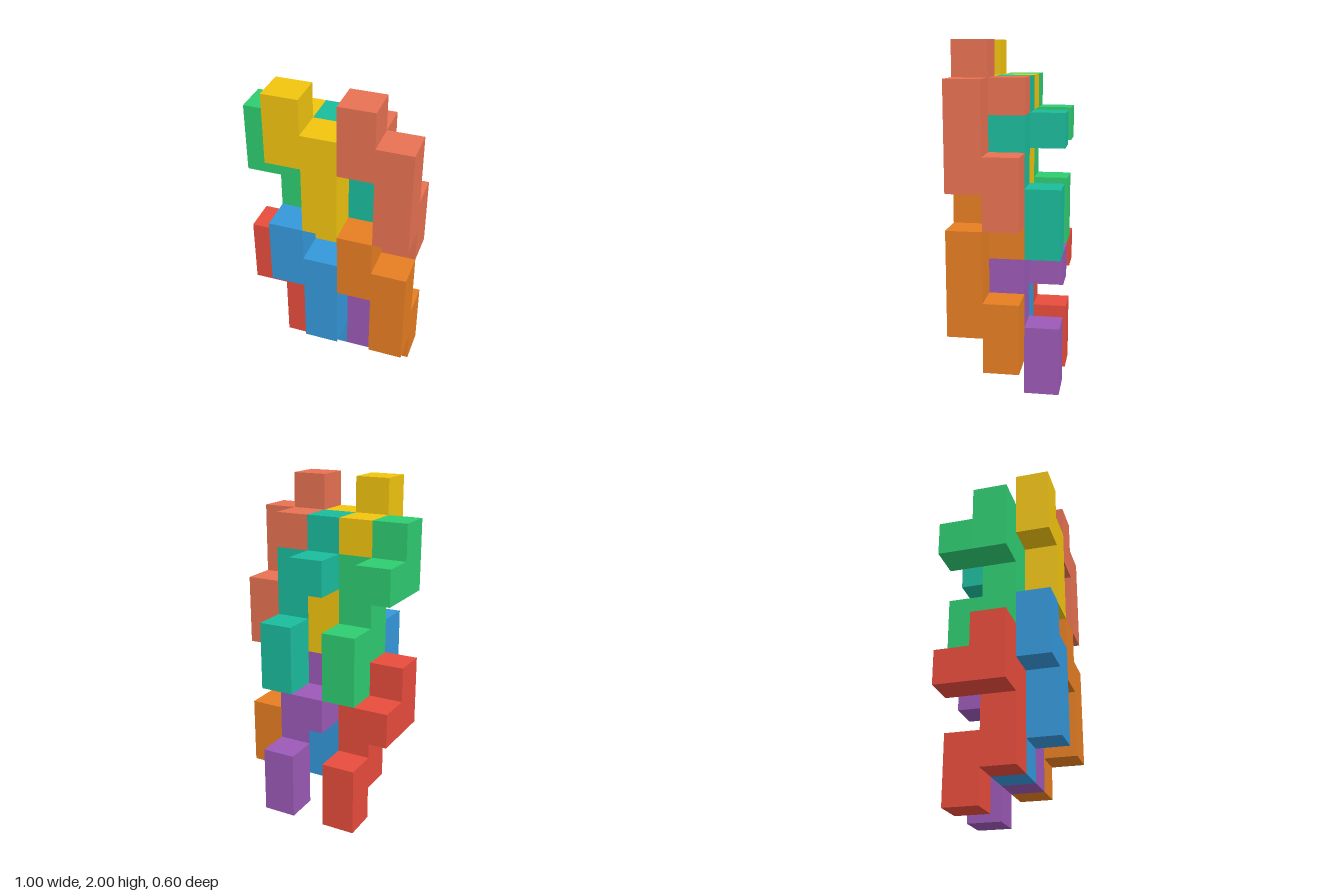
import * as THREE from 'three';
import { mergeGeometries } from 'three/addons/utils/BufferGeometryUtils.js';

const U = 0.2; // edge of one cube cell

// The interlocking piece, as cells [x, y, z] from its base corner
const CELLS = [
  [0, 1, 0], [0, 2, 0], [0, 3, 0],   // long front column
  [0, 0, -1], [0, 1, -1],            // lower back column
  [-1, 3, 0], [-1, 4, 0],            // side column
  [-1, 3, -1],                       // back stub
];
const DIRS = [[1, 0, 0], [-1, 0, 0], [0, 1, 0], [0, -1, 0], [0, 0, 1], [0, 0, -1]];

// Skin of the piece: only the cell faces with no neighbouring cell
function pieceGeometry() {
  const filled = new Set(CELLS.map(String));
  const front = new THREE.Vector3(0, 0, 1);
  const faces = [];
  for (const c of CELLS) {
    for (const d of DIRS) {
      if (filled.has(String(c.map((v, i) => v + d[i])))) continue;
      const turn = new THREE.Quaternion().setFromUnitVectors(front, new THREE.Vector3(...d));
      faces.push(new THREE.PlaneGeometry(U, U)
        .translate(0, 0, U / 2)
        .applyQuaternion(turn)
        .translate(c[0] * U, (c[1] + 0.5) * U, c[2] * U));
    }
  }
  return mergeGeometries(faces);
}

// name, color, base cell [x, y, z]
const PIECES = [
  ['redPiece', 0xe74c3c, [-1, 0, 0]],
  ['purplePiece', 0x9b59b6, [1, 0, 0]],
  ['bluePiece', 0x3498db, [0, 1, 1]],
  ['orangePiece', 0xe67e22, [2, 1, 1]],
  ['greenPiece', 0x2ecc71, [-1, 4, 0]],
  ['tealPiece', 0x1abc9c, [1, 4, 0]],
  ['yellowPiece', 0xf1c40f, [0, 5, 1]],
  ['coralPiece', 0xe77152, [2, 5, 1]],
];

export function createModel() {
  const model = new THREE.Group();
  model.name = 'interlockingBlocks';
  const geometry = pieceGeometry();
  for (const [name, color, base] of PIECES) {
    const piece = new THREE.Mesh(geometry, new THREE.MeshStandardMaterial({ color }));
    piece.name = name;
    piece.position.set(...base).multiplyScalar(U);
    model.add(piece);
  }
  return model;
}
